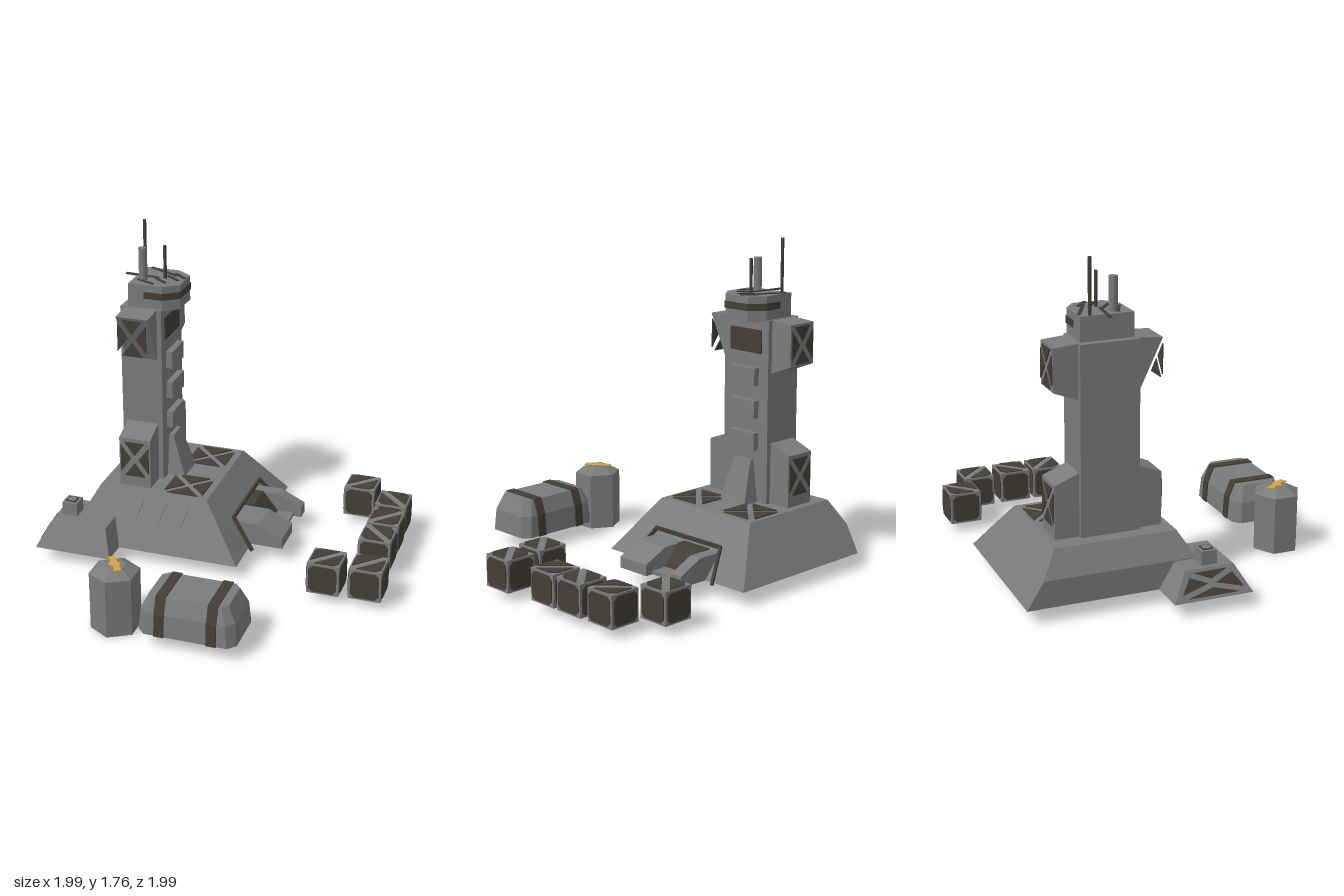
import * as THREE from 'three';

const mat = (name, color, side = THREE.FrontSide) => {
  const m = new THREE.MeshStandardMaterial({ color, side });
  m.name = name;
  return m;
};

export function createModel() {
  const grey = mat('grey armour', 0x7a7c7c, THREE.DoubleSide);
  const brown = mat('dark brown', 0x453e34);
  const orange = mat('orange', 0xd9a040);

  const add = (parent, name, geo, m, x = 0, y = 0, z = 0) => {
    const mesh = new THREE.Mesh(geo, m);
    mesh.name = name;
    mesh.position.set(x, y, z);
    parent.add(mesh);
    return mesh;
  };
  const group = (parent, name, x, y, z, ry = 0) => {
    const g = new THREE.Group();
    g.name = name;
    g.position.set(x, y, z);
    g.rotation.y = ry;
    parent.add(g);
    return g;
  };
  const box = (p, name, m, w, h, d, x, y, z) => add(p, name, new THREE.BoxGeometry(w, h, d), m, x, y, z);

  // Faceted solid through rings [y, [[x, z], ...]]; closed on top, optionally below
  const loft = (rings, bottom = true) => {
    const pos = [];
    const P = (r, i) => { const q = r[1][i % r[1].length]; return [q[0], r[0], q[1]]; };
    const tri = (...t) => t.forEach(v => pos.push(...v));
    for (let k = 0; k + 1 < rings.length; k++) {
      const a = rings[k], b = rings[k + 1];
      for (let i = 0; i < a[1].length; i++) {
        tri(P(a, i), P(a, i + 1), P(b, i + 1));
        tri(P(a, i), P(b, i + 1), P(b, i));
      }
    }
    const lo = rings[0], hi = rings[rings.length - 1];
    for (let i = 1; i + 1 < lo[1].length; i++) {
      tri(P(hi, 0), P(hi, i), P(hi, i + 1));
      if (bottom) tri(P(lo, 0), P(lo, i + 1), P(lo, i));
    }
    const g = new THREE.BufferGeometry();
    g.setAttribute('position', new THREE.Float32BufferAttribute(pos, 3));
    g.computeVertexNormals();
    return g;
  };
  const rect = (x0, x1, z0, z1) => [[x0, z0], [x0, z1], [x1, z1], [x1, z0]];
  const octagon = (w, d, c) => [[-w, -d + c], [-w, d - c], [-w + c, d], [w - c, d],
    [w, d - c], [w, -d + c], [w - c, -d], [-w + c, -d]];
  const shape = pts => new THREE.Shape(pts.map(p => new THREE.Vector2(p[0], p[1])));
  const plate = (polys, t = 0.006) => new THREE.ExtrudeGeometry(polys.map(shape), { depth: t, bevelEnabled: false });

  // Four triangles leaving a cross between them
  const crossPlate = (w, h, wt = w) => {
    const g = 0.022, a = w / 2, b = h / 2, t = wt / 2;
    return plate([
      [[-a + g, -b], [a - g, -b], [0, -g]], [[t - g, b], [-t + g, b], [0, g]],
      [[-a, -b + g], [-g, 0], [-t, b - g]], [[a, -b + g], [t, b - g], [g, 0]]]);
  };

  const model = new THREE.Group();
  model.name = 'commandOutpost';
  const A = Math.PI / 6;
  const station = group(model, 'station', 0.06, 0, -0.365, A);

  // Hollow sloped base and its annex
  add(station, 'base', loft([
    [0.08, rect(-0.49, 0.49, -0.45, 0.45)],
    [0.225, rect(-0.405, 0.405, -0.455, 0.335)],
    [0.358, rect(-0.325, 0.325, -0.385, 0.228)]], false), grey);
  add(station, 'annex', loft([
    [0.08, rect(-0.63, -0.205, -0.65, -0.22)],
    [0.22, rect(-0.55, -0.285, -0.58, -0.27)]], false), grey);
  const annexCross = add(station, 'annexCross', crossPlate(0.33, 0.125, 0.23), brown, -0.4175, 0.15, -0.615);
  annexCross.rotation.set(-0.46, Math.PI, 0, 'YXZ');
  box(station, 'annexVent', grey, 0.085, 0.075, 0.085, -0.43, 0.2575, -0.51);
  box(station, 'annexVentOpening', brown, 0.055, 0.006, 0.055, -0.43, 0.296, -0.51);
  box(station, 'annexVentCover', grey, 0.04, 0.008, 0.04, -0.43, 0.297, -0.51);

  // Slanted panels on the side slope
  const slope = new THREE.Group();
  slope.name = 'sideSlopePanels';
  slope.applyMatrix4(new THREE.Matrix4().makeBasis(
    new THREE.Vector3(0, 0, 1), new THREE.Vector3(0.51, 0.86, 0), new THREE.Vector3(-0.86, 0.51, 0)));
  slope.position.set(-0.49, 0.08, 0);
  station.add(slope);
  for (const w of [-0.18, -0.05, 0.08])
    add(slope, 'slopePanel', plate([[[w - 0.06, 0.16], [w + 0.03, 0.16], [w + 0.06, 0.28], [w - 0.03, 0.28]]]), grey);

  // Cross panels on the deck
  for (const s of [-1, 1]) {
    const p = add(station, 'deckCross', crossPlate(0.22, 0.22), brown, s * 0.19, 0.358, 0.08);
    p.rotation.x = -Math.PI / 2;
  }

  // Bar between two points
  const bar = (p, name, a, b, w, h, m) => {
    const A0 = new THREE.Vector3(...a), B0 = new THREE.Vector3(...b);
    const mesh = add(p, name, new THREE.BoxGeometry(w, h, A0.distanceTo(B0) + w * 0.8), m);
    mesh.position.copy(A0).add(B0).multiplyScalar(0.5);
    mesh.lookAt(B0);
    return mesh;
  };

  // Gate: dark frame, two jambs, sloped door and threshold
  const gate = new THREE.Group();
  gate.name = 'gate';
  const frame = [[-0.295, 0.085, 0.475], [-0.235, 0.235, 0.352], [0.235, 0.235, 0.352], [0.295, 0.085, 0.475]];
  for (let i = 0; i < 3; i++) bar(gate, 'gateFrame', frame[i], frame[i + 1], 0.014, 0.02, brown);
  const jamb = (u0, u1) => add(gate, 'gateJamb', loft([
    [0.08, rect(u0, u1, 0.3, 0.625)], [0.14, rect(u0, u1, 0.3, 0.625)], [0.205, rect(u0, u1, 0.3, 0.49)]]), grey);
  jamb(-0.225, -0.03);
  jamb(0.155, 0.225);
  add(gate, 'gateDoor', loft([
    [0.085, rect(-0.03, 0.155, 0.3, 0.5)], [0.21, rect(-0.03, 0.155, 0.3, 0.4)]]), brown);
  box(gate, 'gateThreshold', grey, 0.185, 0.02, 0.1, 0.0625, 0.09, 0.53);
  station.add(gate);

  // Tower shaft, buttress, window and front blocks
  const tower = new THREE.Group();
  tower.name = 'tower';
  station.add(tower);
  box(tower, 'shaft', grey, 0.312, 0.99, 0.23, 0, 0.853, -0.195);
  add(tower, 'buttress', loft([
    [0.358, rect(-0.09, 0.09, -0.1, 0.02)], [0.585, rect(-0.06, 0.06, -0.1, -0.055)]]), grey);
  box(tower, 'frontWindow', brown, 0.22, 0.125, 0.008, 0, 1.23, -0.078);
  for (const y of [0.693, 0.868, 1.043]) box(tower, 'frontBlock', grey, 0.18, 0.095, 0.04, 0, y, -0.065);

  // Side bulges with cross panels
  const bulges = [
    [[-0.285, 0.358], [0.285, 0.358], [0.285, 0.64], [0.156, 0.69], [-0.156, 0.69], [-0.285, 0.64]],
    [[-0.156, 1.065], [0.156, 1.065], [0.285, 1.115], [0.285, 1.337], [0.156, 1.347], [-0.156, 1.347], [-0.285, 1.337]]];
  bulges.forEach((pts, i) => {
    add(tower, i ? 'upperBulge' : 'lowerBulge', plate([pts], 0.178), grey, 0, 0, -0.285);
    for (const s of [-1, 1]) {
      const c = add(tower, 'bulgeCross', crossPlate(0.16, 0.2), brown, s * 0.285, i ? 1.225 : 0.52, -0.196);
      c.rotation.y = s * Math.PI / 2;
    }
  });

  // Control head with visor band, roof line and masts
  const head = [[-0.14, -0.27], [-0.14, -0.08], [-0.08, 0], [0.08, 0], [0.14, -0.08], [0.14, -0.27]];
  add(tower, 'head', loft([[1.34, head], [1.475, head]]), grey);
  const visor = [[-0.144, -0.18], [-0.144, -0.079], [-0.082, 0.004], [0.082, 0.004], [0.144, -0.079], [0.144, -0.18]];
  add(tower, 'visorBand', loft([[1.4, visor], [1.437, visor]]), brown);
  const line = [[-0.09, -0.24], [0.09, -0.24], [0.09, -0.06], [0.01, -0.03], [0, -0.11], [-0.09, -0.14]];
  line.forEach((p, i) => {
    const q = line[(i + 1) % line.length];
    bar(tower, 'roofLine', [p[0], 1.476, p[1]], [q[0], 1.476, q[1]], 0.016, 0.008, brown);
  });
  const mast = (name, m, r, top, x, z) =>
    add(model, name, new THREE.CylinderGeometry(r, r, top - 1.46, 8), m, x, (top + 1.46) / 2, z);
  mast('thickMast', grey, 0.023, 1.65, -0.093, -0.527);
  mast('tallAntenna', brown, 0.009, 1.76, 0.006, -0.63);
  mast('shortAntenna', brown, 0.009, 1.657, 0.003, -0.46);

  // Storage tank with two straps
  const tank = group(model, 'storageTank', -0.67, 0, 0.555, A);
  add(tank, 'tankBody', loft([
    [0.08, octagon(0.158, 0.255, 0.04)], [0.2, octagon(0.15, 0.245, 0.04)], [0.283, octagon(0.118, 0.205, 0.03)]]), grey);
  for (const w of [-0.135, 0.135]) {
    const r = x => rect(-x, x, w - 0.026, w + 0.026);
    add(tank, 'tankStrap', loft([[0.079, r(0.164)], [0.2, r(0.157)], [0.289, r(0.122)]]), brown);
  }

  // Hexagonal power cell with a spark mark
  const cell = group(model, 'powerCell', -0.885, 0, 0.19);
  const hex = r => [0, 1, 2, 3, 4, 5].map(i => [r * Math.sin(i * Math.PI / 3), r * Math.cos(i * Math.PI / 3)]);
  add(cell, 'cellBody', loft([[0, hex(0.13)], [0.315, hex(0.13)], [0.352, hex(0.06)]]), grey);
  const spark = add(cell, 'sparkMark', plate([[[-0.05, -0.055], [-0.015, -0.075], [0.005, -0.035], [0.022, -0.025],
    [0.022, 0.01], [0.05, 0.055], [0.015, 0.075], [0, 0.03], [-0.025, 0.02], [-0.02, -0.02]]], 0.005), orange, 0, 0.351, 0);
  spark.rotation.x = -Math.PI / 2;

  // Crates: framed panels all round, diagonal strap on the lid
  const S = 0.172, H = S / 2;
  const sidePlate = plate([octagon(0.075, 0.075, 0.02).reverse()], 0.005);
  const lid = plate([[[-0.078, -0.05], [0.05, 0.078], [-0.05, 0.078], [-0.078, 0.05]],
    [[0.078, 0.05], [-0.05, -0.078], [0.05, -0.078], [0.078, -0.05]]], 0.005);
  const crates = [[0.875, 0.22, 1], [0.855, 0.475, 0], [0.67, 0.59, 1], [0.5, 0.69, 0], [0.115, 0.69, 1], [0.235, 0.875, 1]];
  for (const [x, z, turn] of crates) {
    const c = group(model, 'crate', x, 0.05 + H, z, A);
    box(c, 'crateBody', grey, S, S, S, 0, 0, 0);
    for (let i = 0; i < 4; i++) {
      const side = group(c, 'crateSide', 0, 0, 0, i * Math.PI / 2);
      add(side, 'cratePanel', sidePlate, brown, 0, 0, H);
    }
    add(c, 'crateBottom', sidePlate, brown, 0, -H, 0).rotation.x = Math.PI / 2;
    add(c, 'crateLid', lid, brown, 0, H, 0).rotation.set(-Math.PI / 2, 0, turn * Math.PI / 2);
  }
  return model;
}
